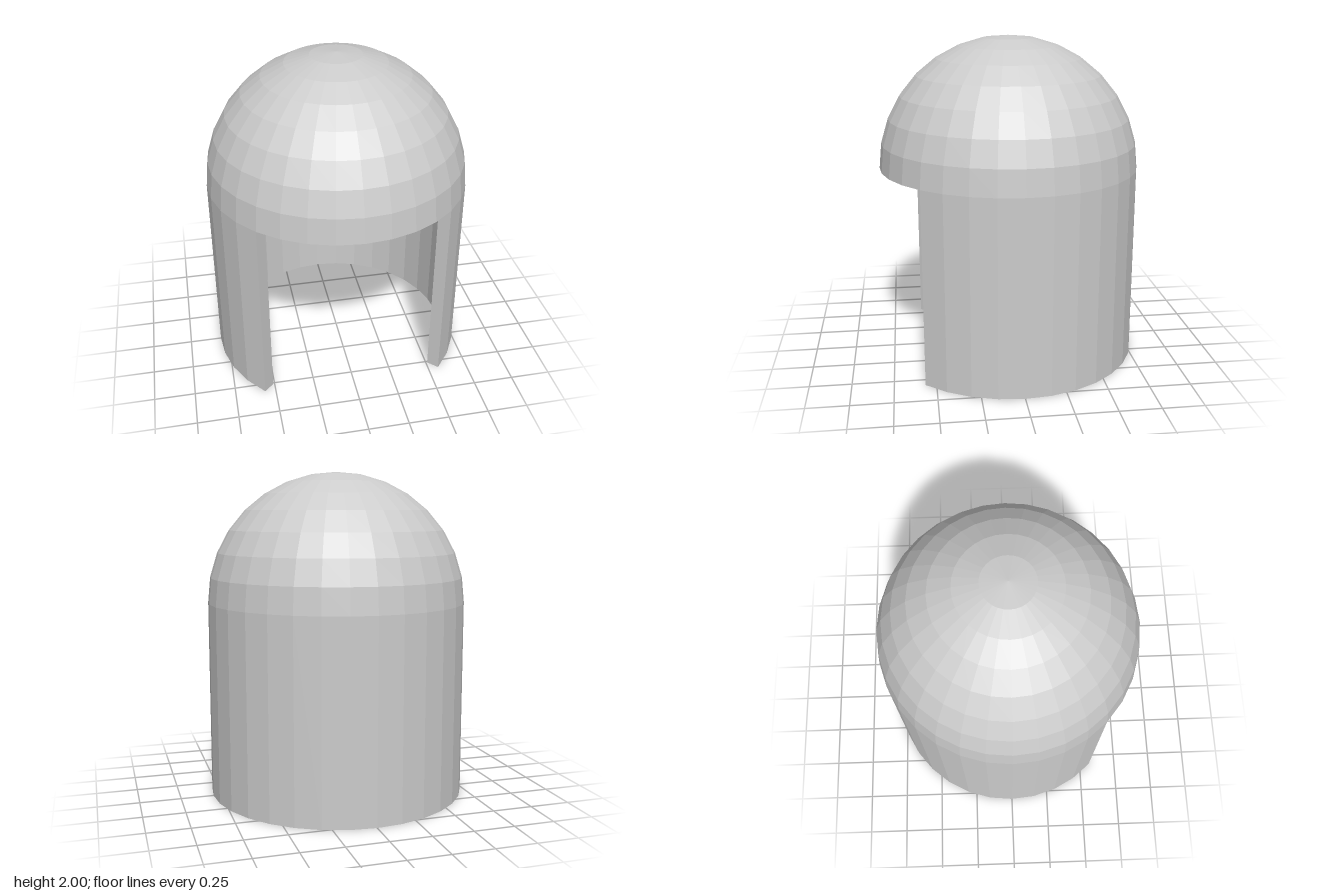
import * as THREE from 'three';

const OUTER = 0.8, INNER = 0.72, WALL_HEIGHT = 1.2;
const SIDES = 32, RINGS = 8;
const STEP = (Math.PI * 2) / SIDES;
const OPENING = 4; // facets on each side of the front centre line left open

export function createModel() {
  const group = new THREE.Group();
  group.name = 'domedShelter';
  const material = new THREE.MeshStandardMaterial({ color: 0xcccccc, flatShading: true });

  const add = (name, geometry) => {
    const mesh = new THREE.Mesh(geometry, material);
    mesh.name = name;
    group.add(mesh);
  };

  // Curved wall: thick faceted arc, open by a quarter turn at the front
  const arc = (r) => {
    const points = [];
    for (let i = OPENING; i <= SIDES - OPENING; i++) {
      points.push(new THREE.Vector2(r * Math.sin(i * STEP), -r * Math.cos(i * STEP)));
    }
    return points;
  };
  const plan = new THREE.Shape([...arc(OUTER), ...arc(INNER).reverse()]);
  const wall = new THREE.ExtrudeGeometry(plan, { depth: WALL_HEIGHT, bevelEnabled: false });
  wall.rotateX(-Math.PI / 2);
  add('wall', wall);

  // Dome roof: hollow hemisphere with the same thickness as the wall
  const quarter = (r) => {
    const points = [];
    for (let i = 0; i <= RINGS; i++) {
      const a = (i / RINGS) * Math.PI / 2;
      points.push(new THREE.Vector2(i === RINGS ? 0 : r * Math.cos(a), WALL_HEIGHT + r * Math.sin(a)));
    }
    return points;
  };
  const profile = [...quarter(OUTER), ...quarter(INNER).reverse(), new THREE.Vector2(OUTER, WALL_HEIGHT)];
  add('dome', new THREE.LatheGeometry(profile, SIDES));

  return group;
}
